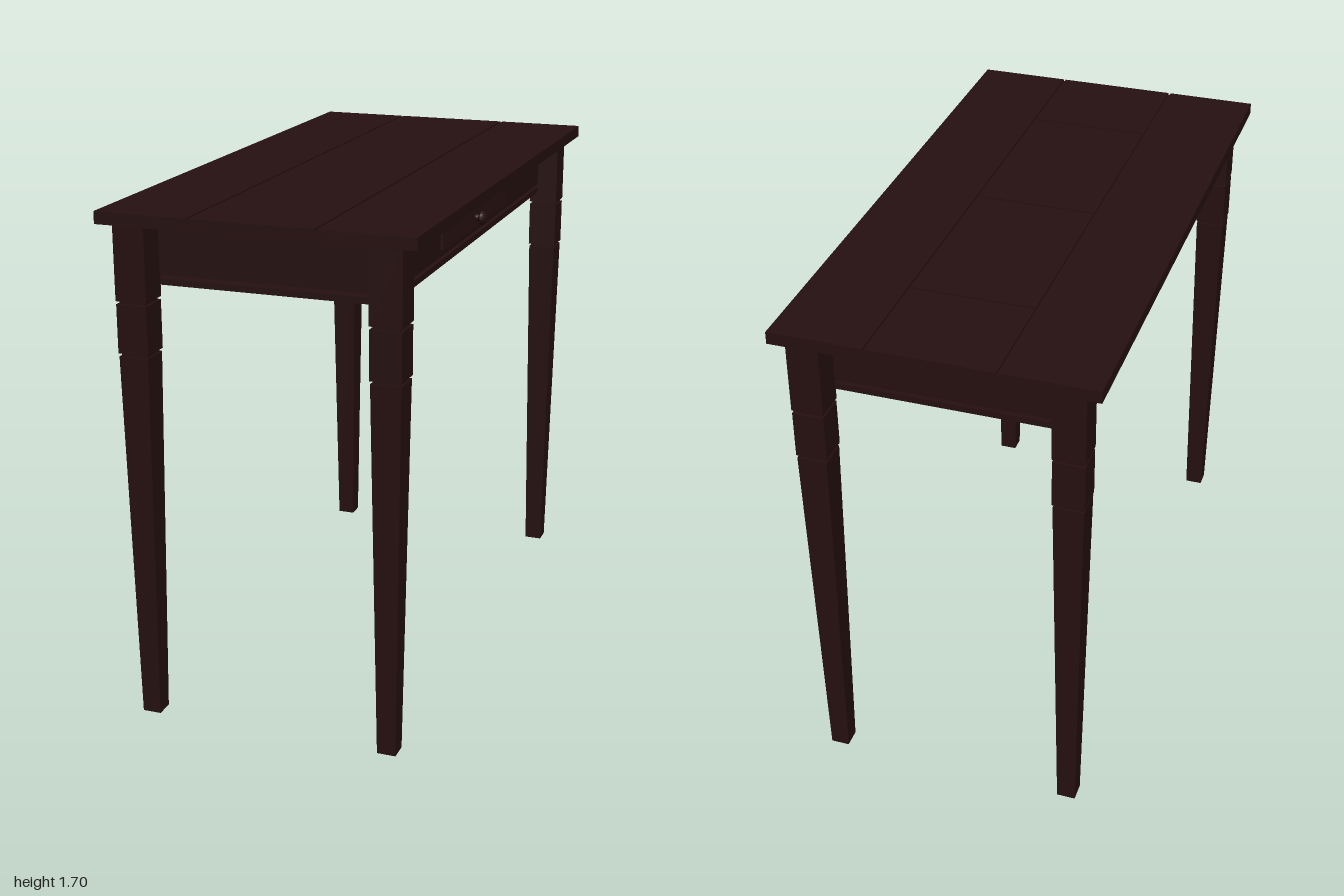
import * as THREE from 'three';

const wood = new THREE.MeshStandardMaterial({ color: 0x261010, flatShading: true });

export function createModel() {
  const table = new THREE.Group();
  table.name = 'table';

  const add = (parent, name, geometry) => {
    const mesh = new THREE.Mesh(geometry, wood);
    mesh.name = name;
    parent.add(mesh);
    return mesh;
  };
  // box given by its extents on each axis
  const box = (parent, name, x0, x1, y0, y1, z0, z1) =>
    add(parent, name, new THREE.BoxGeometry(x1 - x0, y1 - y0, z1 - z0))
      .position.set((x0 + x1) / 2, (y0 + y1) / 2, (z0 + z1) / 2);

  // table top: a slab with planks laid on it, leaving narrow grooves
  const top = new THREE.Group();
  top.name = 'tableTop';
  table.add(top);
  const W = 0.515, groove = 0.004, seam = 0.205, y0 = 1.693, y1 = 1.7;
  box(top, 'slab', -W, W, 1.66, y0, -1, 1);
  box(top, 'sidePlankLeft', seam + groove, W, y0, y1, -1, 1);
  box(top, 'sidePlankRight', -W, -seam - groove, y0, y1, -1, 1);
  const seams = [-1, -0.63, 0, 0.63, 1];
  for (let i = 0; i < 4; i++) {
    const z0 = seams[i] + (i > 0 ? groove : 0);
    const z1 = seams[i + 1] - (i < 3 ? groove : 0);
    box(top, 'middlePlank', -seam + groove, seam - groove, y0, y1, z0, z1);
  }

  // apron, recessed strip and bottom panel
  box(table, 'apron', -0.39, 0.39, 1.487, 1.66, -0.88, 0.88);
  box(table, 'recessedStrip', -0.365, 0.365, 1.476, 1.487, -0.83, 0.83);
  box(table, 'bottomPanel', -0.39, 0.39, 1.455, 1.476, -0.88, 0.88);

  // drawer fronts fade into the apron at the top; each has a round knob
  const profile = new THREE.Shape([
    new THREE.Vector2(0, 1.513), new THREE.Vector2(0.012, 1.513),
    new THREE.Vector2(0.002, 1.6), new THREE.Vector2(0, 1.6),
  ]);
  const drawerGeo = new THREE.ExtrudeGeometry(profile, { depth: 0.76, bevelEnabled: false });
  drawerGeo.translate(0.39, 0, -0.38);
  const knobGeo = new THREE.LatheGeometry([
    [0.012, 0], [0.012, 0.012], [0.024, 0.02], [0.024, 0.03], [0.014, 0.038], [0, 0.038],
  ].map(([r, h]) => new THREE.Vector2(r, h)), 16);
  knobGeo.rotateZ(-Math.PI / 2).translate(0.396, 1.54, 0);
  for (const turn of [0, Math.PI]) {
    const drawer = new THREE.Group();
    drawer.name = 'drawer';
    drawer.rotation.y = turn;
    add(drawer, 'drawerFront', drawerGeo);
    add(drawer, 'drawerKnob', knobGeo);
    table.add(drawer);
  }

  // square leg section tapering from half-width b (bottom) to t (top)
  const section = (b, t, low, high) => {
    const g = new THREE.CylinderGeometry(t * Math.SQRT2, b * Math.SQRT2, high - low, 4);
    return g.rotateY(Math.PI / 4).translate(0, (low + high) / 2, 0);
  };
  const legParts = [
    ['legShaft', section(0.031, 0.049, 0, 1.24)],
    ['lowerGroove', section(0.043, 0.043, 1.24, 1.25)],
    ['legCollar', section(0.051, 0.051, 1.25, 1.408)],
    ['upperGroove', section(0.043, 0.043, 1.408, 1.418)],
    ['legBlock', section(0.052, 0.052, 1.418, 1.66)],
  ];
  for (const sx of [-1, 1]) {
    for (const sz of [-1, 1]) {
      const leg = new THREE.Group();
      leg.name = (sz > 0 ? 'front' : 'back') + (sx > 0 ? 'Left' : 'Right') + 'Leg';
      leg.position.set(sx * 0.413, 0, sz * 0.928);
      for (const [name, geometry] of legParts) add(leg, name, geometry);
      table.add(leg);
    }
  }
  return table;
}
